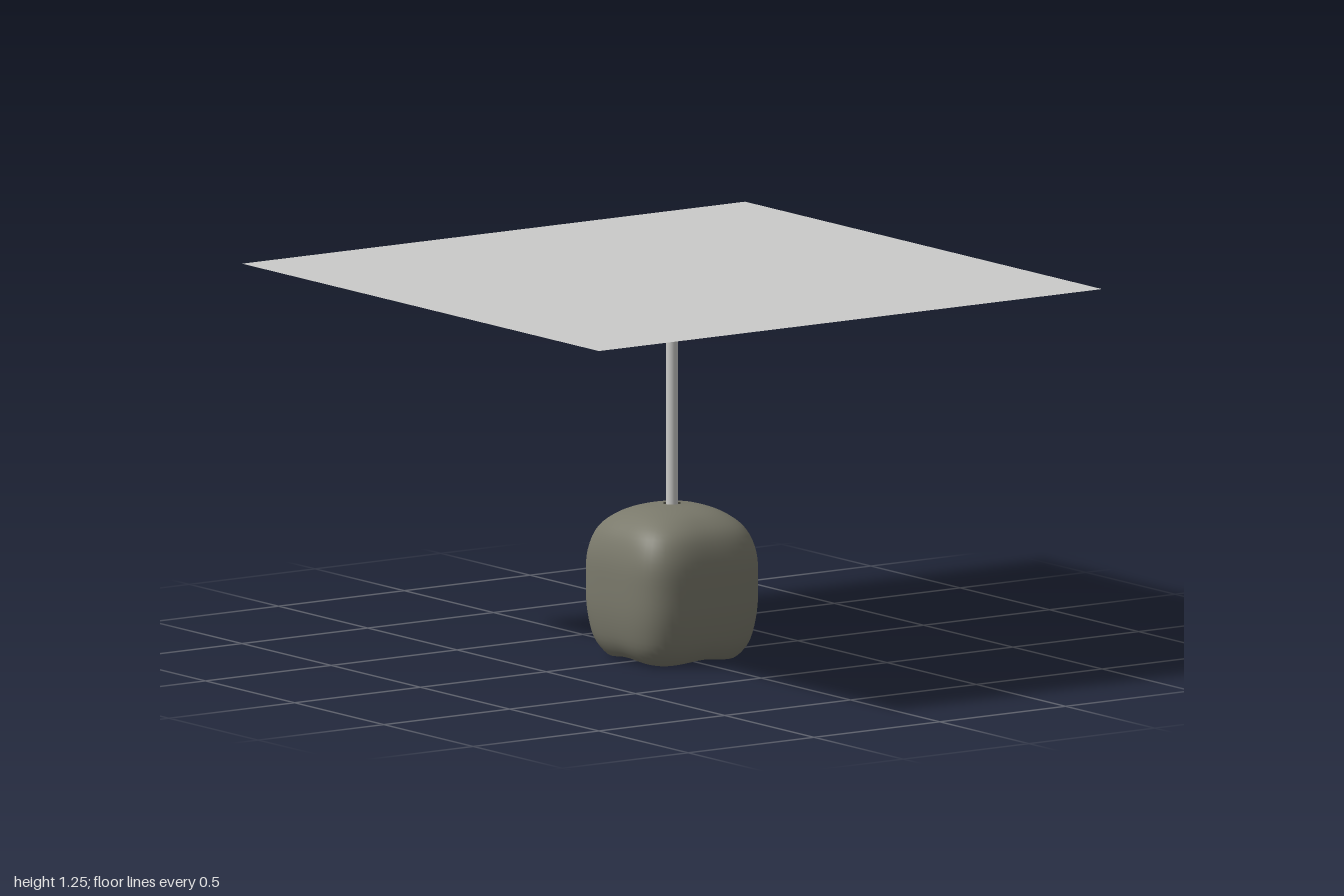
import * as THREE from 'three';
import { mergeVertices } from 'three/addons/utils/BufferGeometryUtils.js';

// Rounded-square shell: a lathe whose rings are reshaped into superellipses.
function shadeGeometry() {
  // radius on the axis, height, superellipse exponent / 10 (bottom rim to top rim)
  const profile = [
    [0.15, 0.03, 0.2], [0.158, 0.02, 0.21], [0.172, 0.016, 0.25], [0.19, 0.023, 0.3],
    [0.22, 0.07, 0.36], [0.236, 0.15, 0.375], [0.24, 0.25, 0.375], [0.235, 0.35, 0.375],
    [0.21, 0.425, 0.34], [0.16, 0.473, 0.28], [0.1, 0.497, 0.23], [0.03, 0.507, 0.2],
  ].map((p) => new THREE.Vector3(...p));
  const rings = new THREE.CatmullRomCurve3(profile).getPoints(44);
  const lathe = new THREE.LatheGeometry(rings.map((p) => new THREE.Vector2(p.x, p.y)), 72);
  const pos = lathe.attributes.position;
  for (let i = 0; i < pos.count; i++) {
    const ring = rings[i % rings.length];
    const angle = Math.atan2(pos.getZ(i), pos.getX(i));
    const c = Math.cos(angle), s = Math.sin(angle), n = ring.z * 10;
    const r = ring.x / Math.pow(Math.abs(c) ** n + Math.abs(s) ** n, 1 / n);
    // the four lower corners hang slightly below the middle of the sides
    const low = THREE.MathUtils.clamp(1 - ring.y / 0.1, 0, 1);
    const drop = 0.016 * low * Math.sin(2 * angle) ** 2;
    pos.setXYZ(i, r * c, ring.y - drop, r * s);
  }
  lathe.deleteAttribute('uv');
  lathe.deleteAttribute('normal');
  const geometry = mergeVertices(lathe, 1e-5);
  geometry.computeVertexNormals();
  return geometry;
}

export function createModel() {
  const model = new THREE.Group();
  model.name = 'pendantLamp';
  const paleGrey = new THREE.MeshStandardMaterial({ color: 0xcbcbc9, side: THREE.DoubleSide });
  paleGrey.name = 'paleGrey';
  const olive = new THREE.MeshStandardMaterial({ color: 0x7a796b, side: THREE.DoubleSide });
  olive.name = 'oliveGrey';

  const add = (name, geometry, material, y = 0) => {
    const mesh = new THREE.Mesh(geometry, material);
    mesh.name = name;
    mesh.position.y = y;
    model.add(mesh);
    return mesh;
  };

  // Ceiling sheet
  add('ceiling', new THREE.PlaneGeometry(2, 2).rotateX(-Math.PI / 2), paleGrey, 1.253);
  // Hanging rod, from just inside the shade up to the ceiling
  add('rod', new THREE.CylinderGeometry(0.019, 0.019, 0.773, 24), paleGrey, 0.8655);
  // Lamp shade, open below
  add('shade', shadeGeometry(), olive);
  return model;
}
